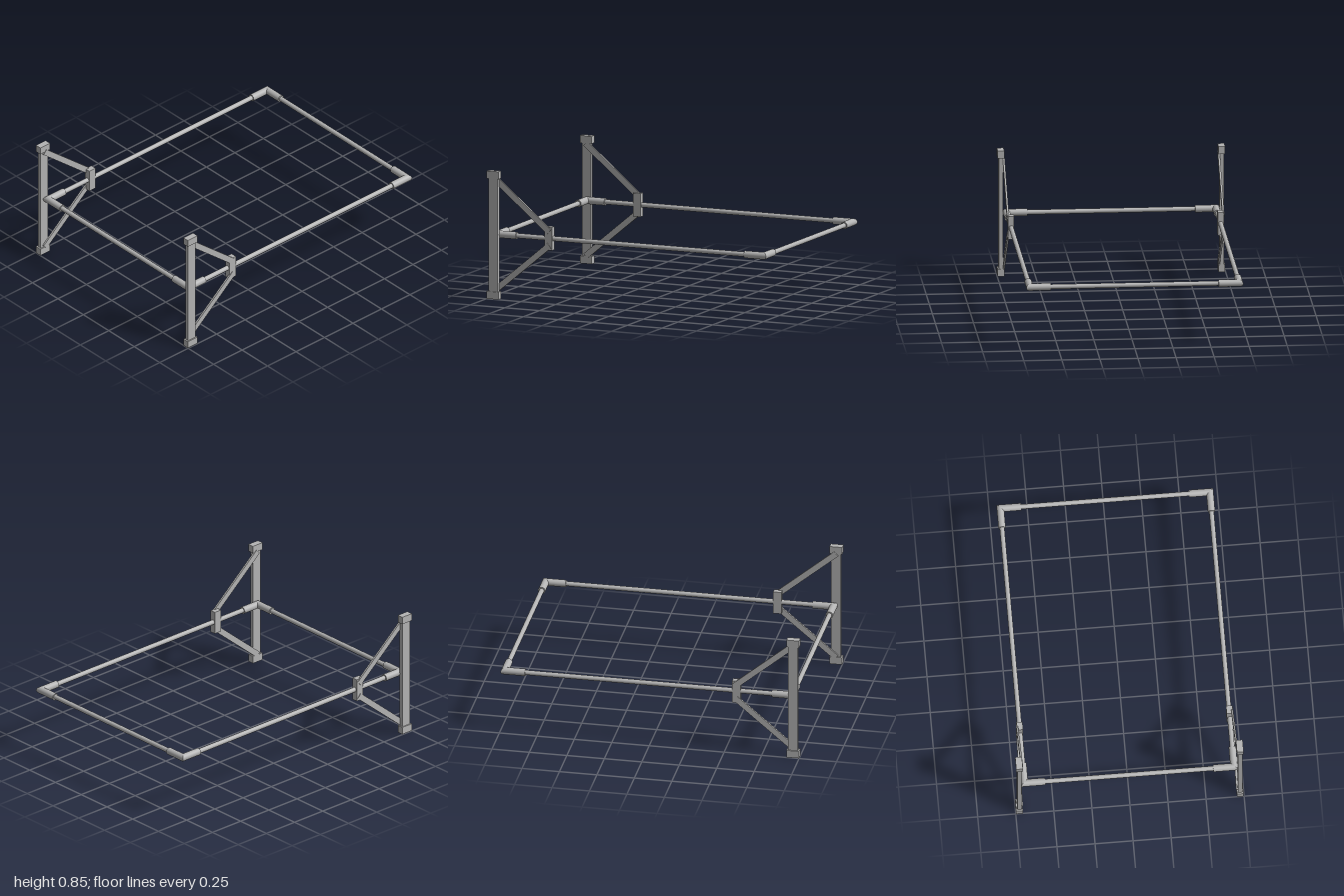
import * as THREE from 'three';

const steel = new THREE.MeshStandardMaterial({ color: 0xb4b4b4 });
steel.name = 'grey steel';

const RAIL_X = 0.688, RAIL_Y = 0.425, FRONT_Z = 0.944, BACK_Z = -0.976;
const RAIL_R = 0.016, ELBOW_R = 0.024, ARM = 0.137;

function add(parent, name, geometry, x = 0, y = 0, z = 0) {
  const mesh = new THREE.Mesh(geometry, steel);
  mesh.name = name;
  mesh.position.set(x, y, z);
  parent.add(mesh);
  return mesh;
}

// Collar along +y whose lower end is cut at 45 degrees to meet its partner
function mitredArm(slope) {
  const g = new THREE.CylinderGeometry(ELBOW_R, ELBOW_R, ARM, 32);
  g.translate(0, ARM / 2, 0);
  const p = g.attributes.position;
  for (let i = 0; i < p.count; i++) {
    if (p.getY(i) < ARM / 2) p.setY(i, slope * p.getX(i));
  }
  return g;
}

// Corner fitting with one arm along +x and one along +z
function makeElbow(name, x, z, turn) {
  const elbow = new THREE.Group();
  elbow.name = name;
  add(elbow, 'elbowArmZ', mitredArm(1).rotateX(Math.PI / 2));
  add(elbow, 'elbowArmX', mitredArm(-1).rotateZ(-Math.PI / 2).rotateX(Math.PI / 2));
  elbow.position.set(x, RAIL_Y, z);
  elbow.rotation.y = turn * Math.PI / 2;
  return elbow;
}

// Upright stand with end caps, two braces and the clamp on the side rail
function makeStand(name, s) {
  const stand = new THREE.Group();
  stand.name = name;
  add(stand, 'post', new THREE.BoxGeometry(0.028, 0.81, 0.065), s * 0.725, RAIL_Y, 0.957);
  for (const v of [-1, 1]) {
    add(stand, v > 0 ? 'topCap' : 'footCap',
      new THREE.BoxGeometry(0.044, 0.05, 0.085), s * 0.725, RAIL_Y + v * 0.4, 0.9575);
    // brace between (z 0.96, far from rail) and (z 0.565, by the clamp)
    const dz = 0.395, dy = 0.33;
    const brace = add(stand, v > 0 ? 'upperBrace' : 'lowerBrace',
      new THREE.BoxGeometry(0.013, 0.04, Math.hypot(dz, dy)),
      s * 0.7065, RAIL_Y + v * 0.21, 0.7625);
    brace.rotation.x = -v * Math.atan2(dy, dz);
  }
  add(stand, 'railClamp', new THREE.BoxGeometry(0.041, 0.155, 0.055), s * 0.689, RAIL_Y, 0.573);
  return stand;
}

export function createModel() {
  const model = new THREE.Group();
  model.name = 'railFrame';

  // Rails
  const crossRail = new THREE.CylinderGeometry(RAIL_R, RAIL_R, 2 * RAIL_X - 0.06, 32).rotateZ(Math.PI / 2);
  add(model, 'frontRail', crossRail, 0, RAIL_Y, FRONT_Z);
  add(model, 'backRail', crossRail, 0, RAIL_Y, BACK_Z);
  const sideRail = new THREE.CylinderGeometry(RAIL_R, RAIL_R, FRONT_Z - BACK_Z - 0.06, 32).rotateX(Math.PI / 2);
  for (const s of [-1, 1]) {
    add(model, s > 0 ? 'leftRail' : 'rightRail', sideRail, s * RAIL_X, RAIL_Y, (FRONT_Z + BACK_Z) / 2);
    model.add(makeStand(s > 0 ? 'leftStand' : 'rightStand', s));
  }

  // Corner elbows
  model.add(makeElbow('backRightElbow', -RAIL_X, BACK_Z, 0));
  model.add(makeElbow('frontRightElbow', -RAIL_X, FRONT_Z, 1));
  model.add(makeElbow('frontLeftElbow', RAIL_X, FRONT_Z, 2));
  model.add(makeElbow('backLeftElbow', RAIL_X, BACK_Z, 3));
  return model;
}
